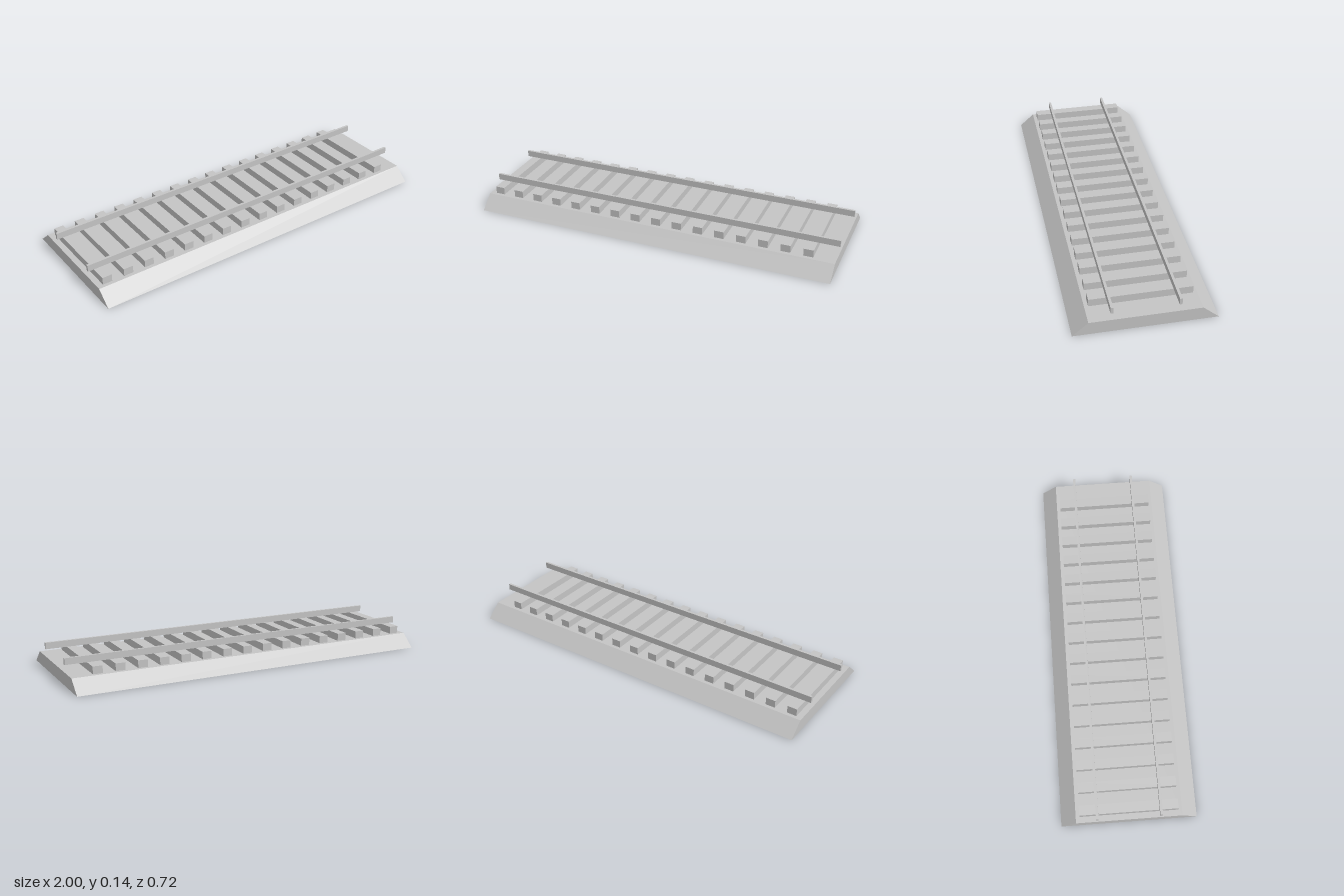
import * as THREE from 'three';

export function createModel() {
  const model = new THREE.Group();
  model.name = 'railwayTrack';
  const grey = new THREE.MeshStandardMaterial({ color: 0xc4c4c4 });
  grey.name = 'light grey';

  function add(name, geometry, x, y, z) {
    const mesh = new THREE.Mesh(geometry, grey);
    mesh.name = name;
    mesh.position.set(x, y, z);
    model.add(mesh);
  }

  // Ballast bed: trapezoid section swept along x
  const section = new THREE.Shape([
    new THREE.Vector2(-0.36, 0),
    new THREE.Vector2(0.36, 0),
    new THREE.Vector2(0.28, 0.07),
    new THREE.Vector2(-0.28, 0.07),
  ]);
  const bed = new THREE.ExtrudeGeometry(section, { depth: 2, bevelEnabled: false });
  bed.translate(0, 0, -1).rotateY(Math.PI / 2);
  add('ballastBed', bed, 0, 0, 0);

  // Sleepers at an even spacing, starting near the right end
  const sleeper = new THREE.BoxGeometry(0.052, 0.04, 0.52);
  for (let i = 0; i < 16; i++) add(`sleeper${i + 1}`, sleeper, -0.942 + i * 0.12, 0.09, 0);

  // Pair of rails resting on the sleepers
  const rail = new THREE.BoxGeometry(2, 0.035, 0.0135);
  add('frontRail', rail, 0, 0.1275, 0.167);
  add('backRail', rail, 0, 0.1275, -0.167);

  return model;
}
